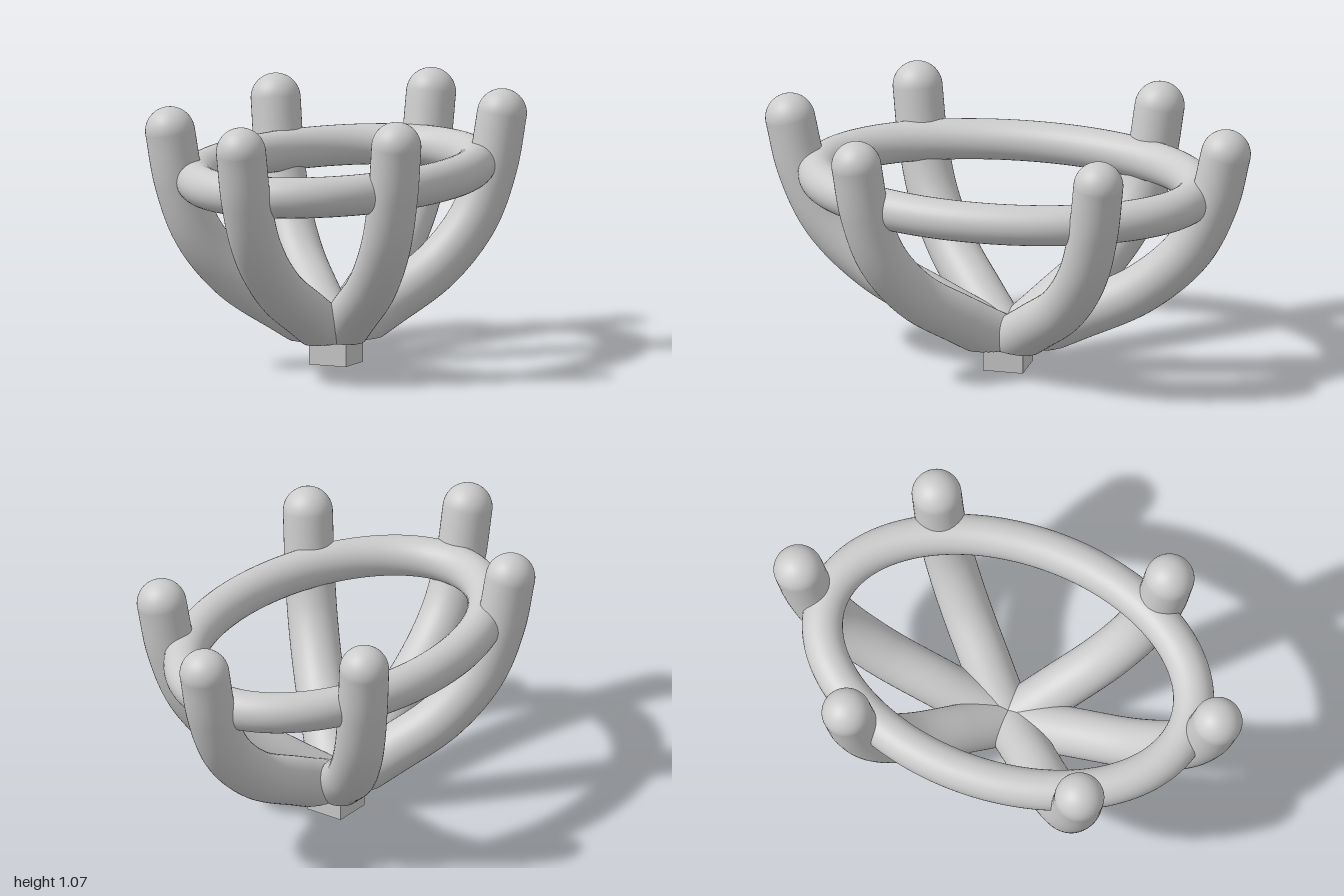
import * as THREE from 'three';

const BASE_Y = 0.1;     // level where the prongs are cut flat
const PRONG_R = 0.1;
const material = new THREE.MeshStandardMaterial({ color: 0xcccccc, side: THREE.DoubleSide });

// Prong centreline: [fraction of the reach, height]
const PROFILE = [[0, 0.1], [0.3, 0.23], [0.61, 0.375], [0.83, 0.56], [0.945, 0.77], [1, 0.975]];

function part(name, geometry, parent) {
  const mesh = new THREE.Mesh(geometry, material);
  mesh.name = name;
  parent.add(mesh);
  return mesh;
}

// Curved prong from the hub to (x, z), flat underneath, rounded on top
function makeProng(name, x, z) {
  const prong = new THREE.Group();
  prong.name = name;
  const curve = new THREE.CatmullRomCurve3(PROFILE.map(([f, y]) => new THREE.Vector3(x * f, y, z * f)));
  const tube = new THREE.TubeGeometry(curve, 96, PRONG_R, 40, false);
  const pos = tube.attributes.position, normal = tube.attributes.normal;
  for (let i = 0; i < pos.count; i++) {
    if (pos.getY(i) < BASE_Y) {
      pos.setY(i, BASE_Y);
      normal.setXYZ(i, 0, -1, 0);
    }
  }
  part('prongStem', tube, prong);

  const tip = part('prongTip', new THREE.SphereGeometry(PRONG_R, 40, 16, 0, Math.PI * 2, 0, Math.PI / 2), prong);
  tip.position.copy(curve.getPoint(1));
  tip.quaternion.setFromUnitVectors(new THREE.Vector3(0, 1, 0), curve.getTangent(1));
  return prong;
}

// Closed ellipse for the gallery ring
class EllipseLoop extends THREE.Curve {
  getPoint(t, target = new THREE.Vector3()) {
    const a = t * Math.PI * 2;
    return target.set(0.503 * Math.cos(a), 0.778, 0.773 * Math.sin(a));
  }
}

export function createModel() {
  const model = new THREE.Group();
  model.name = 'prongSetting';

  // Square peg under the hub
  const base = part('basePeg', new THREE.BoxGeometry(0.164, BASE_Y, 0.164), model);
  base.position.y = BASE_Y / 2;

  // Oval ring joining the prongs
  part('ovalRing', new THREE.TubeGeometry(new EllipseLoop(), 160, 0.082, 32, true), model);

  // Six prongs: one at each end, two on each side
  for (const [end, s] of [['front', 1], ['back', -1]]) {
    model.add(makeProng(end + 'Prong', 0, 0.9 * s));
    model.add(makeProng(end + 'LeftProng', 0.5, 0.5 * s));
    model.add(makeProng(end + 'RightProng', -0.5, 0.5 * s));
  }
  return model;
}
